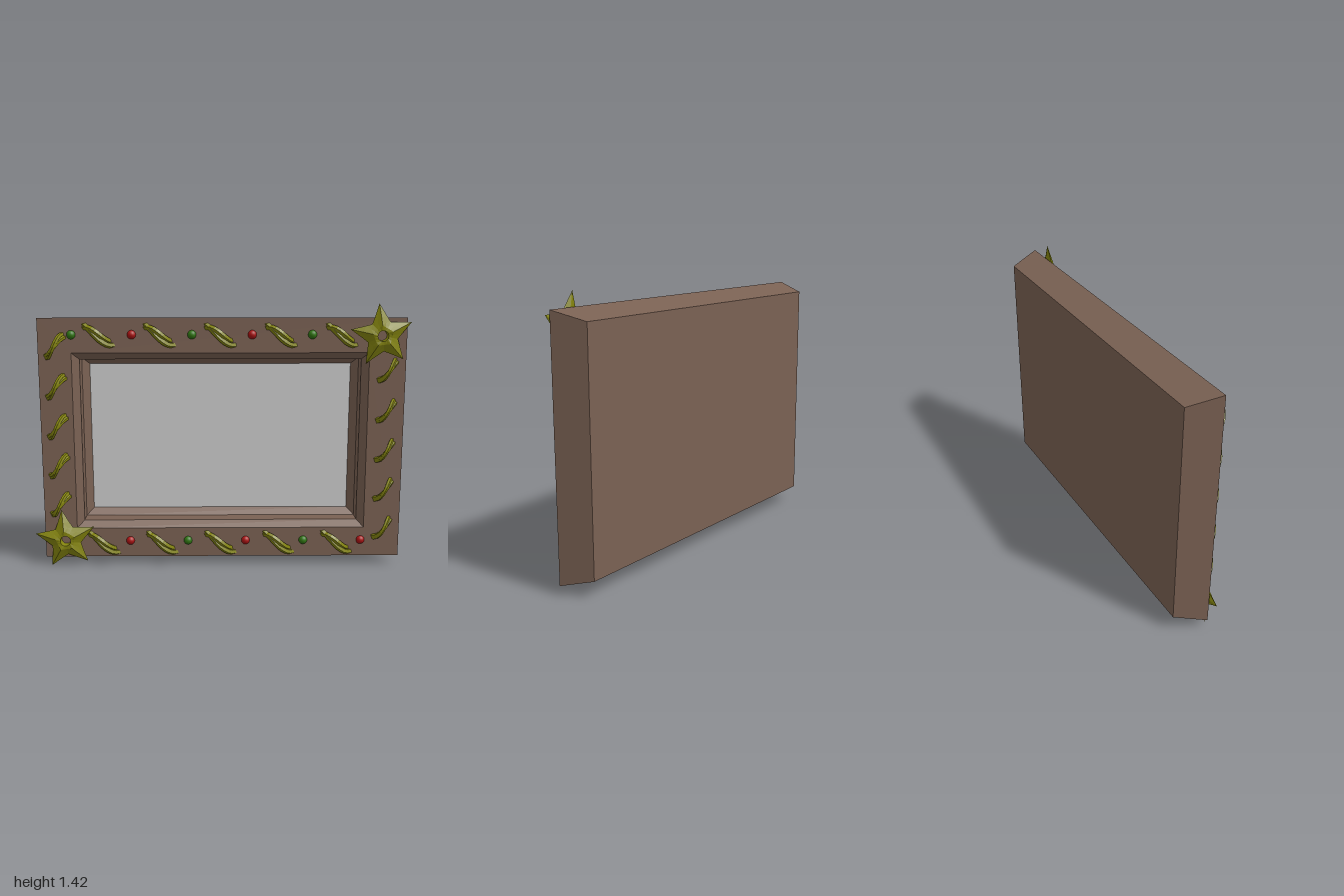
import * as THREE from 'three';

const paint = (color, side = THREE.FrontSide) =>
  new THREE.MeshStandardMaterial({ color, side, flatShading: true });

// Joins equal-length loops of points with quads; each loop is closed.
function loft(loops, capStart = false) {
  const n = loops[0].length, index = [];
  for (let r = 0; r < loops.length - 1; r++) {
    for (let i = 0; i < n; i++) {
      const j = (i + 1) % n, a = r * n + i, b = r * n + j;
      index.push(a, b, b + n, a, b + n, a + n);
    }
  }
  if (capStart) for (let i = 1; i < n - 1; i++) index.push(0, i + 1, i);
  const geo = new THREE.BufferGeometry();
  geo.setAttribute('position', new THREE.Float32BufferAttribute(loops.flat(2), 3));
  geo.setIndex(index);
  const flat = geo.toNonIndexed();
  flat.computeVertexNormals();
  return flat;
}

const rect = (x0, x1, y0, y1, z) => [[x0, y0, z], [x1, y0, z], [x1, y1, z], [x0, y1, z]];

// Five-pointed blossom with a hollow centre, facing +z
function blossomGeometry(turn) {
  const ring = (tipR, notchR, tipZ, notchZ) => Array.from({ length: 20 }, (_, i) => {
    const a = turn + (i / 20) * Math.PI * 2;
    const k = Math.abs((i % 4) - 2) / 2; // 1 at a tip, 0 at a notch
    const s = k * k;
    const r = notchR + (tipR - notchR) * s;
    return [r * Math.cos(a), r * Math.sin(a), notchZ + (tipZ - notchZ) * s];
  });
  return loft([
    ring(0.05, 0.05, 0.0, 0.0),
    ring(0.168, 0.082, 0.008, 0.018),
    ring(0.10, 0.062, 0.032, 0.03),
    ring(0.055, 0.045, 0.048, 0.04),
    ring(0.028, 0.028, 0.042, 0.042),
    ring(0.026, 0.026, 0.0, 0.0),
  ]);
}

// One arch of vine: two thin strands twisted together, both ends sunk in the frame
function vineArch(length, rise, peak, radius, material) {
  const arch = new THREE.Group();
  for (const side of [0, Math.PI]) {
    const points = [];
    for (let i = 0; i <= 8; i++) {
      const t = i / 4 - 1;
      const twist = side + t * 1.6 + 0.8;
      const sway = Math.sin(t * Math.PI / 2);
      points.push(new THREE.Vector3(
        t * length + Math.cos(twist) * radius * 0.5,
        sway * rise + Math.sin(twist) * radius * 0.9,
        0.03 + (peak - 0.03 - radius) * Math.cos(t * Math.PI / 2) + Math.cos(twist) * radius * 0.4));
    }
    const strand = new THREE.Mesh(
      new THREE.TubeGeometry(new THREE.CatmullRomCurve3(points), 10, radius, 5), material);
    strand.name = 'vineStrand';
    arch.add(strand);
  }
  return arch;
}

export function createModel() {
  const model = new THREE.Group();
  const wood = paint(0x7a6153), olive = paint(0x85850f, THREE.DoubleSide);
  const red = new THREE.MeshStandardMaterial({ color: 0xa81212 });
  const green = new THREE.MeshStandardMaterial({ color: 0x307512 });
  const add = (name, geo, mat) => {
    const mesh = new THREE.Mesh(geo, mat);
    mesh.name = name;
    model.add(mesh);
    return mesh;
  };

  // Frame: tapered back, flat face, bevelled and stepped opening
  add('frame', loft([
    rect(-0.885, 0.915, 0.097, 1.307, -0.12),
    rect(-0.948, 0.978, 0.053, 1.353, 0.045),
    rect(-0.775, 0.785, 0.215, 1.17, 0.045),
    rect(-0.738, 0.748, 0.25, 1.133, 0.01),
    rect(-0.738, 0.748, 0.25, 1.133, -0.075),
    rect(-0.70, 0.71, 0.287, 1.095, -0.108),
  ], true), wood);

  // Picture panel
  add('panel', new THREE.PlaneGeometry(1.41, 0.808), paint(0xcccccc))
    .position.set(0.005, 0.691, -0.108);

  // Blossoms on opposite corners
  for (const [x, y, turn] of [[0.845, 1.26, 97], [-0.835, 0.155, 97]]) {
    add('blossom', blossomGeometry(THREE.MathUtils.degToRad(turn)), olive).position.set(x, y, 0.047);
  }

  // Vine arches along the four sides
  const vine = (x, y, arch) => {
    arch.name = 'vine';
    arch.position.set(x, y, 0);
    model.add(arch);
  };
  for (let i = 0; i < 5; i++) {
    const x = -0.635 + i * 0.317;
    vine(x, 1.265, vineArch(0.077, -0.046, 0.085, 0.015, olive));
    vine(x, 0.135, vineArch(0.08, -0.05, 0.085, 0.015, olive));
    vine(-0.86, 1.205 - i * 0.214, vineArch(0.05, 0.055, 0.115, 0.012, olive));
    vine(0.882, 1.075 - i * 0.216, vineArch(0.05, 0.052, 0.1, 0.011, olive));
  }

  // Berries alternating between the arches
  const berry = new THREE.SphereGeometry(0.024, 16, 12);
  for (let i = 0; i < 5; i++) {
    add('berry', berry, i % 2 ? red : green).position.set(-0.773 + i * 0.314, 1.265, 0.04);
    add('berry', berry, i % 2 ? green : red).position.set(-0.487 + i * 0.314, 0.143, 0.04);
  }
  return model;
}
